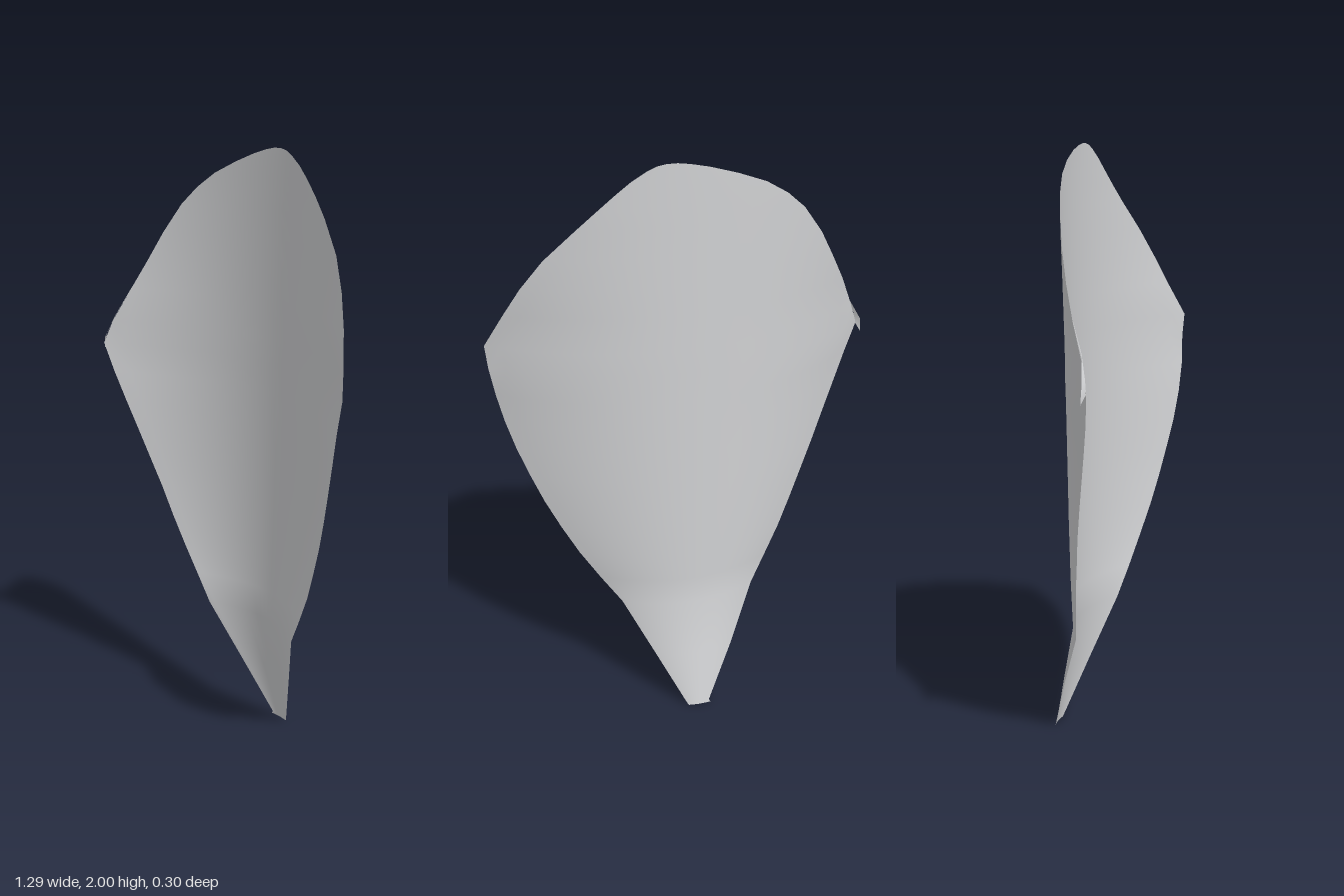
import * as THREE from 'three';

// Petal cross-sections: height, left-hand edge x, right-hand edge x, curl strength
const SECTIONS = [
  [0, -0.03, 0.05, 2], [0.01, -0.025, 0.056, 2], [0.2, -0.125, 0.15, 1.7],
  [0.4, -0.222, 0.25, 1.18], [0.5, -0.275, 0.32, 0.97], [0.6, -0.328, 0.385, 0.83],
  [0.7, -0.374, 0.44, 0.76], [0.8, -0.417, 0.489, 0.7], [0.9, -0.462, 0.53, 0.66],
  [1, -0.505, 0.567, 0.63], [1.1, -0.549, 0.597, 0.6], [1.2, -0.592, 0.62, 0.57],
  [1.3, -0.635, 0.638, 0.53], [1.38, -0.605, 0.646, 0.53], [1.5, -0.55, 0.588, 0.49],
  [1.6, -0.497, 0.534, 0.46], [1.7, -0.442, 0.465, 0.43], [1.8, -0.37, 0.368, 0.41],
  [1.86, -0.305, 0.305, 0.4], [1.91, -0.228, 0.25, 0.39], [1.95, -0.132, 0.202, 0.38],
  [1.98, -0.04, 0.155, 0.37], [1.994, 0.02, 0.125, 0.36], [2, 0.06, 0.095, 0.35],
];
const COLS = 24;

// Depth of the cupped surface; the base bends back below y = 0.4
const depth = (x, y, curl) => -0.075 - 0.078 * Math.max(0, 1 - y / 0.4) + curl * x * x;

// Skins rows of equally many points with quads
function skin(rows) {
  const n = rows[0].length;
  const index = [];
  for (let i = 0; i < rows.length - 1; i++) {
    for (let j = 0; j < n - 1; j++) {
      const a = i * n + j;
      index.push(a, a + 1, a + n, a + 1, a + n + 1, a + n);
    }
  }
  const geometry = new THREE.BufferGeometry();
  geometry.setAttribute('position', new THREE.Float32BufferAttribute(rows.flat(2), 3));
  geometry.setIndex(index);
  geometry.computeVertexNormals();
  return geometry;
}

export function createModel() {
  const group = new THREE.Group();
  group.name = 'petal';
  const material = new THREE.MeshStandardMaterial({ color: 0xd0d1d3, side: THREE.DoubleSide });
  material.name = 'pale grey';

  // Cupped blade
  const rows = SECTIONS.map(([y, left, right, curl]) =>
    Array.from({ length: COLS + 1 }, (_, j) => {
      const x = left + ((right - left) * j) / COLS;
      return [x, y, depth(x, y, curl)];
    }));
  const blade = new THREE.Mesh(skin(rows), material);
  blade.name = 'blade';
  group.add(blade);

  // Small folded lip on the side tip
  const lip = new THREE.Mesh(skin([
    [[-0.648, 1.27, 0.125], [-0.632, 1.3, 0.138]],
    [[-0.647, 1.315, 0.128], [-0.622, 1.34, 0.132]],
    [[-0.596, 1.4, 0.115], [-0.588, 1.41, 0.112]],
    [[-0.55, 1.5, 0.074], [-0.548, 1.5, 0.074]],
  ]), material);
  lip.name = 'foldedLip';
  group.add(lip);

  return group;
}
